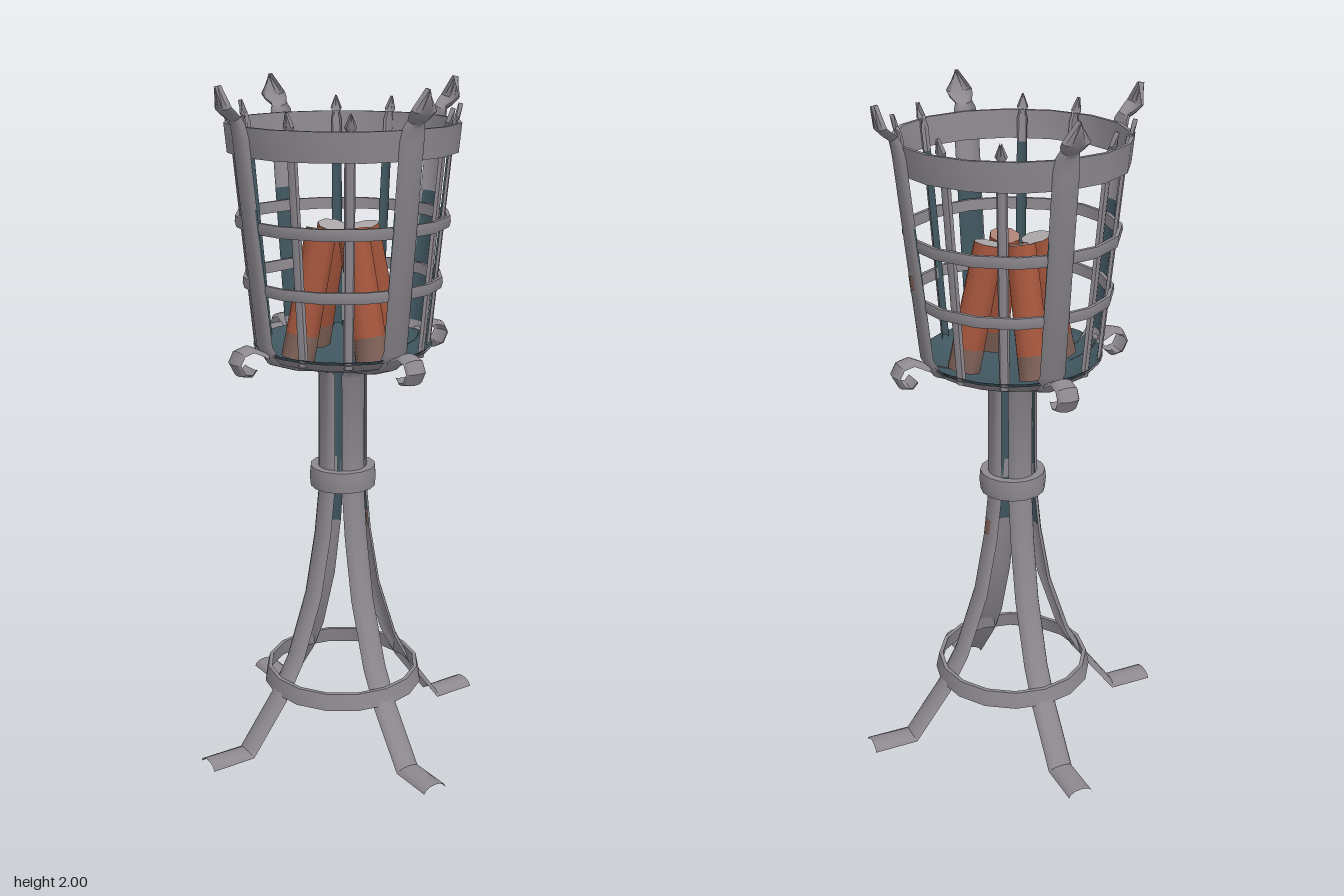
import * as THREE from 'three';
import { toCreasedNormals } from 'three/addons/utils/BufferGeometryUtils.js';

const mat = (name, color, side = THREE.FrontSide) => {
  const m = new THREE.MeshStandardMaterial({ color, side });
  m.name = name;
  return m;
};

// Half-round channel swept along a path of [radius, height, halfWidth] points
function channel(path, depth, sides = 6) {
  const pos = [], idx = [];
  const unit = (a, b) => new THREE.Vector2(b[0] - a[0], b[1] - a[1]).normalize();
  path.forEach((p, i) => {
    const d = new THREE.Vector2();
    if (i > 0) d.add(unit(path[i - 1], p));
    if (i < path.length - 1) d.add(unit(p, path[i + 1]));
    d.normalize();
    for (let j = 0; j <= sides; j++) {
      const a = (Math.PI * j) / sides;
      const n = depth * Math.sin(a);
      pos.push(p[0] + d.y * n, p[1] - d.x * n, p[2] * Math.cos(a));
      if (i < path.length - 1 && j < sides) {
        const k = i * (sides + 1) + j, u = k + sides + 1;
        idx.push(k, k + 1, u + 1, k, u + 1, u);
      }
    }
  });
  const g = new THREE.BufferGeometry();
  g.setAttribute('position', new THREE.Float32BufferAttribute(pos, 3));
  g.setIndex(idx);
  return toCreasedNormals(g, 0.75);
}

// Sixteen-sided solid hoop, with its own outer radius at bottom and top
function hoop(y0, y1, r0, r1, thick, bulge = 0) {
  const pts = [
    [r0 - thick, y0], [r0, y0], [(r0 + r1) / 2 + bulge, (y0 + y1) / 2],
    [r1, y1], [r1 - thick, y1], [r0 - thick, y0],
  ].map(([r, y]) => new THREE.Vector2(r, y));
  return toCreasedNormals(new THREE.LatheGeometry(pts, 16), 0.6);
}

export function createModel() {
  const iron = mat('iron grey', 0x8d898f, THREE.DoubleSide);
  const soot = mat('sooty teal', 0x40565f, THREE.DoubleSide);
  const bark = mat('log brown', 0xa4553c);
  const ash = mat('ashy brown', 0x7d6056);
  const cut = mat('log end grey', 0xaaa6a8);
  const warmCut = mat('log end pink', 0xaa8074);

  const root = new THREE.Group();
  root.name = 'fireBasket';
  const add = (name, geo, material, parent = root) => {
    const m = new THREE.Mesh(geo, material);
    m.name = name;
    parent.add(m);
    return m;
  };

  // Four long straps: foot, leg, stem, basket upright and spear tip in one sweep
  const W = 0.039;
  const strap = [
    [0.488, 0.002, W], [0.35, 0.002, W], [0.232, 0.16, W], [0.172, 0.27, W],
    [0.105, 0.47, W], [0.07, 0.66, W], [0.055, 0.8, W], [0.053, 1.165, W],
    [0.075, 1.195, W], [0.16, 1.21, W], [0.235, 1.235, W], [0.263, 1.28, W],
    [0.326, 1.86, W], [0.334, 1.9, 0.034], [0.342, 1.917, 0.026],
    [0.362, 1.932, 0.037], [0.377, 1.945, 0.041], [0.386, 2.0, 0.002],
  ];
  const strapGeo = channel(strap, 0.021);
  const stemLining = channel(strap.slice(5, 8), 0.018);
  const basketLining = channel([strap[11], [0.306, 1.67, W]], 0.018);

  // Scroll curling out at the foot of each upright
  const S = 0.033;
  const scrollGeo = channel([
    [0.312, 1.222, S], [0.325, 1.207, S], [0.347, 1.212, S], [0.361, 1.238, S],
    [0.348, 1.262, S], [0.318, 1.27, S], [0.27, 1.245, S],
  ], 0.014);

  // Slim basket bar, just inside the hoops, with a small pointed tip
  const B = 0.015;
  const bar = [
    [0.245, 1.235, B], [0.298, 1.8, B], [0.306, 1.87, B], [0.31, 1.888, 0.01],
    [0.318, 1.9, 0.017], [0.326, 1.937, 0.002],
  ];
  const barGeo = channel(bar, 0.013, 4);
  const barLining = channel(bar.slice(0, 2), 0.01, 4);

  for (let i = 0; i < 12; i++) {
    const arm = new THREE.Group();
    arm.rotation.y = (i * Math.PI) / 6;
    root.add(arm);
    if (i % 3) {
      arm.name = 'basketBar';
      add('bar', barGeo, iron, arm);
      add('barLining', barLining, soot, arm);
    } else {
      arm.name = 'legAndUpright';
      add('strap', strapGeo, iron, arm);
      add('scroll', scrollGeo, iron, arm);
      add('stemLining', stemLining, soot, arm);
      add('basketLining', basketLining, soot, arm);
    }
  }

  // Two rust spots on the left strap
  const R = 0.03;
  add('lowerRustSpot', channel([[0.069, 0.67, R], [0.0636, 0.72, R]], 0.0235), ash);
  add('upperRustSpot', channel([[0.2858, 1.49, R], [0.2902, 1.53, R]], 0.0235), ash);

  // Hoops binding legs and basket
  add('legHoop', hoop(0.172, 0.222, 0.246, 0.236, 0.012), iron);
  add('stemCollar', hoop(0.812, 0.875, 0.098, 0.098, 0.025, 0.003), iron);
  add('lowerBasketHoop', hoop(1.425, 1.457, 0.287, 0.29, 0.011, 0.003), iron);
  add('middleBasketHoop', hoop(1.6, 1.633, 0.306, 0.309, 0.011, 0.003), iron);
  add('topBasketHoop', hoop(1.808, 1.89, 0.328, 0.336, 0.011), iron);

  // Shallow dish: iron outside, sooty inside
  const dish = (dy) => new THREE.LatheGeometry(
    [[0, 1.187], [0.09, 1.191], [0.18, 1.206], [0.24, 1.226], [0.262, 1.25]]
      .map(([r, y]) => new THREE.Vector2(r, y + dy)), 24);
  add('dishOutside', dish(0), iron);
  add('dishInside', dish(0.007), soot);

  // Four logs leaning together, each with an ashy foot
  const up = new THREE.Vector3(0, 1, 0);
  for (let i = 0; i < 4; i++) {
    const a = (i * Math.PI) / 2;
    const at = (r, y) => new THREE.Vector3(r * Math.cos(a), y, r * Math.sin(a));
    const foot = at(0.155, 1.225), head = at(i % 2 ? 0.052 : 0.073, 1.59);
    const axis = head.clone().sub(foot);
    const len = axis.length(), ashLen = 0.07;
    const log = new THREE.Group();
    log.name = 'log';
    log.position.copy(foot);
    log.quaternion.setFromUnitVectors(up, axis.normalize());
    root.add(log);
    const piece = (name, rTop, rBottom, y0, y1, mats) => {
      const g = new THREE.CylinderGeometry(rTop, rBottom, y1 - y0, 8);
      add(name, toCreasedNormals(g, 0.9), mats, log).position.y = (y0 + y1) / 2;
    };
    piece('logBody', 0.045, 0.049, ashLen, len, [bark, i === 1 ? warmCut : cut, bark]);
    piece('logFoot', 0.049, 0.05, 0, ashLen, ash);
  }
  return root;
}
